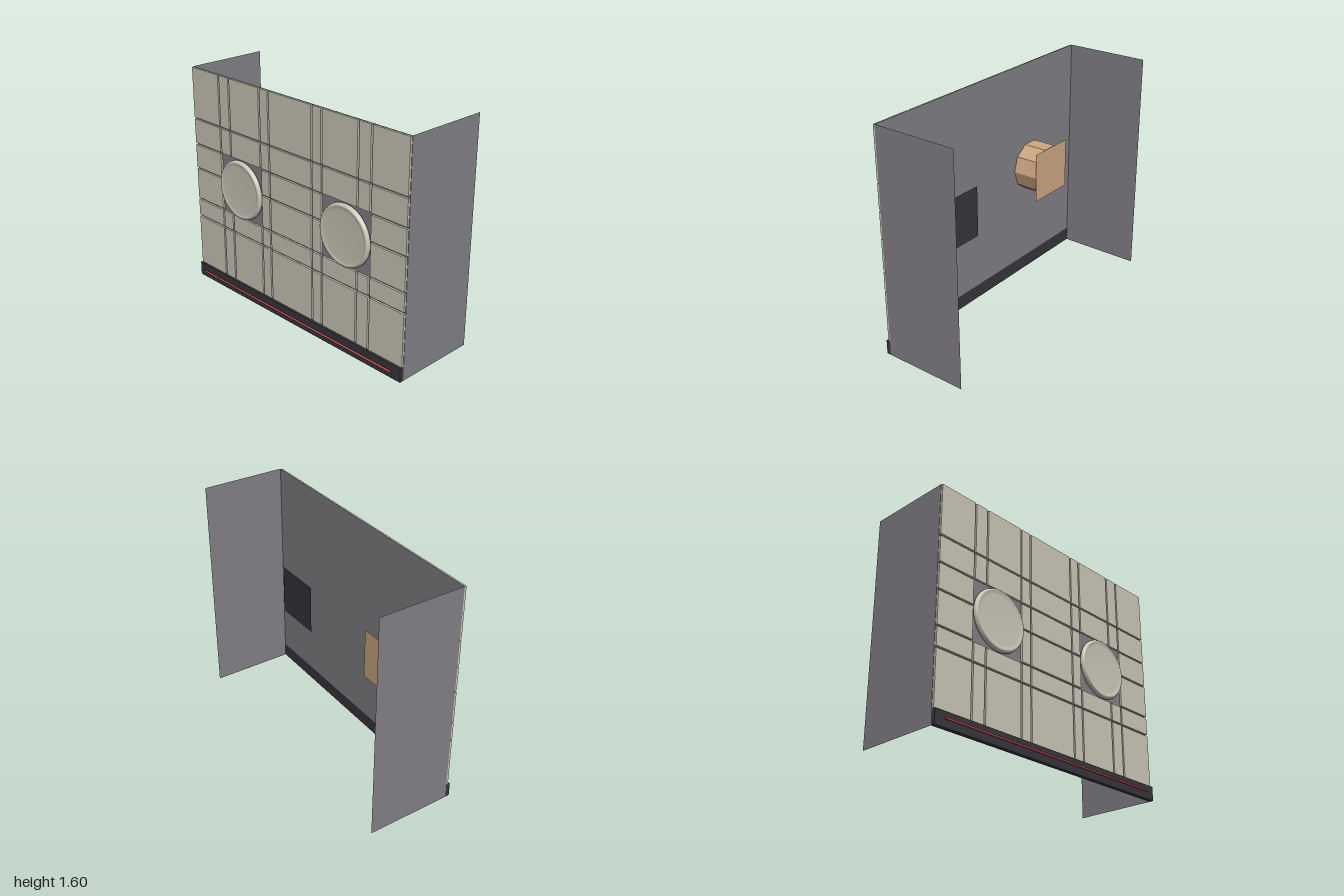
import * as THREE from 'three';

const mat = (name, color, side = THREE.FrontSide) => {
  const m = new THREE.MeshStandardMaterial({ color, side });
  m.name = name;
  return m;
};

export function createModel() {
  const model = new THREE.Group();
  model.name = 'tiledWall';

  const grey = mat('wall grey', 0x807e84, THREE.DoubleSide);
  const cream = mat('tile cream', 0xc9c6b6);
  const dark = mat('dark trim', 0x36353b, THREE.DoubleSide);
  const red = mat('strip red', 0xd8505c);
  const tan = mat('socket tan', 0xcca680, THREE.DoubleSide);
  tan.flatShading = true;

  const add = (name, geometry, material, x, y, z, parent = model) => {
    const mesh = new THREE.Mesh(geometry, material);
    mesh.name = name;
    mesh.position.set(x, y, z);
    parent.add(mesh);
    return mesh;
  };

  const wallZ = 0.275, discY = 0.828, socketZ = 0.087;

  // Thin back sheet and two side wings
  add('backSheet', new THREE.PlaneGeometry(2, 1.5), grey, 0, 0.85, wallZ);
  for (const s of [-1, 1]) {
    const wing = add(s > 0 ? 'leftWing' : 'rightWing', new THREE.PlaneGeometry(0.6, 1.6), grey, s, 0.8, -0.025);
    wing.rotation.y = s * Math.PI / 2;
  }

  // Grid of tiles, left out around the two discs
  const tiles = new THREE.Group();
  tiles.name = 'tiles';
  model.add(tiles);
  const xs = [-1, -0.71, -0.603, -0.293, -0.204, 0.2, 0.29, 0.6, 0.708, 1];
  const ys = [0.1, 0.48, 0.617, 0.855, 1.04, 1.23, 1.6];
  const gap = 0.013, depth = 0.014;
  for (let i = 0; i < xs.length - 1; i++) {
    for (let j = 0; j < ys.length - 1; j++) {
      const cx = (xs[i] + xs[i + 1]) / 2, cy = (ys[j] + ys[j + 1]) / 2;
      const nearDisc = Math.abs(Math.abs(cx) - 0.5) < 0.2 && Math.abs(cy - discY) < 0.2;
      if (nearDisc) continue;
      // Outer edges run flush with the sheet
      const x0 = xs[i] + (i ? gap / 2 : 0.002), x1 = xs[i + 1] - (i < xs.length - 2 ? gap / 2 : 0.002);
      const y0 = ys[j] + (j ? gap / 2 : 0), y1 = ys[j + 1] - (j < ys.length - 2 ? gap / 2 : 0.003);
      add('tile', new THREE.BoxGeometry(x1 - x0, y1 - y0, depth), cream,
        (x0 + x1) / 2, (y0 + y1) / 2, wallZ + depth / 2 + 0.001, tiles);
    }
  }

  // Dished round discs
  const profile = [[0, 0.002], [0.196, 0.002], [0.213, 0.012], [0.213, 0.022], [0.207, 0.034],
    [0.199, 0.04], [0.192, 0.038], [0.17, 0.031], [0, 0.031]].map(p => new THREE.Vector2(...p));
  const discGeo = new THREE.LatheGeometry(profile, 48);
  discGeo.rotateX(Math.PI / 2);
  for (const s of [-1, 1]) {
    add(s > 0 ? 'leftDisc' : 'rightDisc', discGeo, cream, s * 0.5, discY, wallZ);
  }

  // Ten-sided socket with a square plate behind the right disc, bare plate behind the left
  const socketDepth = wallZ - socketZ;
  const socketGeo = new THREE.CylinderGeometry(0.18, 0.18, socketDepth, 10, 1, true, Math.PI / 2);
  socketGeo.rotateX(Math.PI / 2);
  add('socket', socketGeo, tan, -0.5, discY, (wallZ + socketZ) / 2);
  const plateGeo = new THREE.PlaneGeometry(0.36, 0.36);
  add('socketPlate', plateGeo, tan, -0.5, discY, socketZ);
  add('darkPlate', plateGeo, dark, 0.5, discY, socketZ);

  // Baseboard with a thin red rod on its front
  add('baseboard', new THREE.BoxGeometry(2, 0.1, 0.03), dark, 0, 0.05, wallZ + 0.015);
  const rod = add('redRod', new THREE.CylinderGeometry(0.007, 0.007, 1.86, 10), red, 0, 0.052, 0.318);
  rod.rotation.z = Math.PI / 2;
  add('rodPin', new THREE.BoxGeometry(0.006, 0.006, 0.014), red, -0.925, 0.052, 0.311);

  return model;
}
